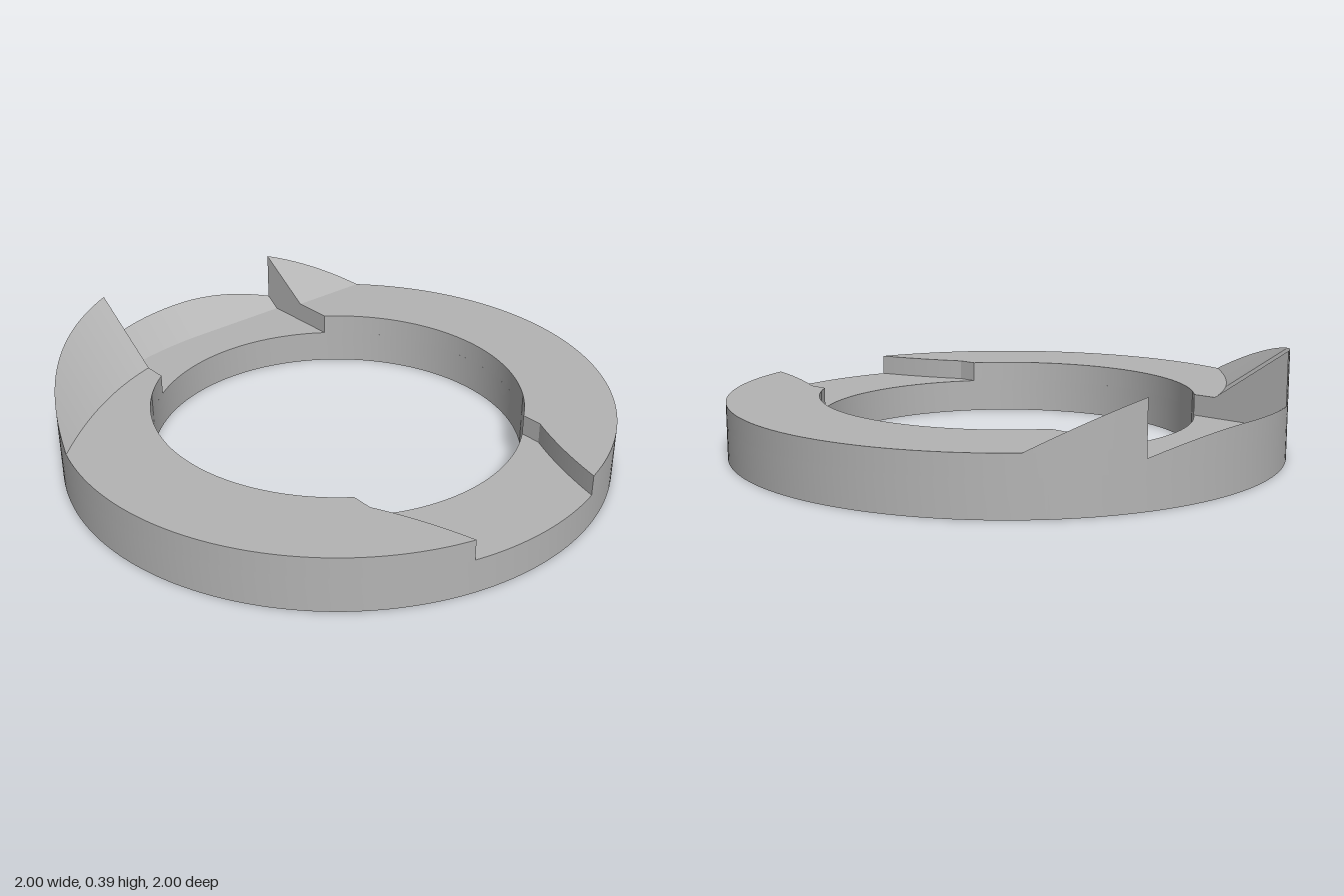
import * as THREE from 'three';
import { toCreasedNormals } from 'three/addons/utils/BufferGeometryUtils.js';

const OUTER = 1, INNER = 0.675;
const FLOOR = 0.125, TOP = 0.2;   // channel floor and main deck heights
const HALF = 0.4;                 // half width of the channels
const SLOPE = 0.68;               // rise of the ramps towards -x

// Extrude a plan outline (x, z) between two heights
function slab(shape, y0, y1) {
  const g = new THREE.ExtrudeGeometry(shape, { depth: y1 - y0, bevelEnabled: false, curveSegments: 96 });
  g.rotateX(Math.PI / 2).translate(0, y1, 0);
  return toCreasedNormals(g, 0.4);
}

// Full ring below the channels
function ringShape() {
  const s = new THREE.Shape().absarc(0, 0, OUTER, 0, Math.PI * 2, false);
  s.holes.push(new THREE.Path().absarc(0, 0, INNER, 0, Math.PI * 2, true));
  return s;
}

// Half deck between the two channels; side = 1 front, -1 back
function deckShape(side) {
  const notch = 0.279, outer = Math.asin(HALF / OUTER), inner = Math.asin(HALF / INNER);
  const back = side < 0;
  const s = new THREE.Shape();
  s.absarc(0, 0, OUTER, side * notch, side * (Math.PI - outer), back);
  s.absarc(0, 0, INNER, side * (Math.PI - inner), side * inner, !back);
  s.lineTo(0.62, side * HALF);
  s.quadraticCurveTo(0.78, side * 0.32, Math.cos(notch), side * Math.sin(notch));
  return s;
}

// Ramp lofted along z: triangular sections from a foot line out to the rim
function ramp(z0, z1, y0, footX, steps = 40) {
  const pos = [];
  const add = (...pts) => pts.forEach(p => pos.push(...p));
  const section = z => {
    const rim = -Math.sqrt(OUTER * OUTER - z * z);
    const foot = Math.max(footX(z), rim);
    return [[foot, y0, z], [rim, y0, z], [rim, y0 + SLOPE * (foot - rim), z]];
  };
  const rows = [];
  for (let i = 0; i <= steps; i++) rows.push(section(z0 + (z1 - z0) * i / steps));
  for (let i = 0; i < steps; i++) {
    const a = rows[i], b = rows[i + 1];
    for (const [p, q] of [[2, 0], [1, 2]]) add(a[p], b[p], b[q], a[p], b[q], a[q]);
  }
  const [first, last] = [rows[0], rows[steps]];
  add(first[0], first[1], first[2], last[0], last[2], last[1]);
  const g = new THREE.BufferGeometry();
  g.setAttribute('position', new THREE.Float32BufferAttribute(pos, 3));
  return toCreasedNormals(g, 0.4);
}

export function createModel() {
  const group = new THREE.Group();
  group.name = 'notchedRing';
  const grey = new THREE.MeshStandardMaterial({ color: 0xb4b4b4 });
  grey.name = 'plain grey';
  const part = (name, geometry) => {
    const m = new THREE.Mesh(geometry, grey);
    m.name = name;
    group.add(m);
  };

  part('baseRing', slab(ringShape(), 0, FLOOR));
  part('frontDeck', slab(deckShape(1), FLOOR, TOP));
  part('backDeck', slab(deckShape(-1), FLOOR, TOP));

  // Sloped lip at the rim of the channel
  part('channelLip', ramp(-HALF, HALF, FLOOR, z => z < 0 ? -0.86 : -0.86 + 0.375 * z * z));

  // Raised wings on both sides of the channel
  part('frontWing', ramp(HALF, 0.957, TOP, z => -0.63 + 0.3 * (z - HALF) + 0.58 * (z - HALF) ** 2));
  part('backWing', ramp(-0.7141, -HALF, TOP, () => -0.7));

  return group;
}
